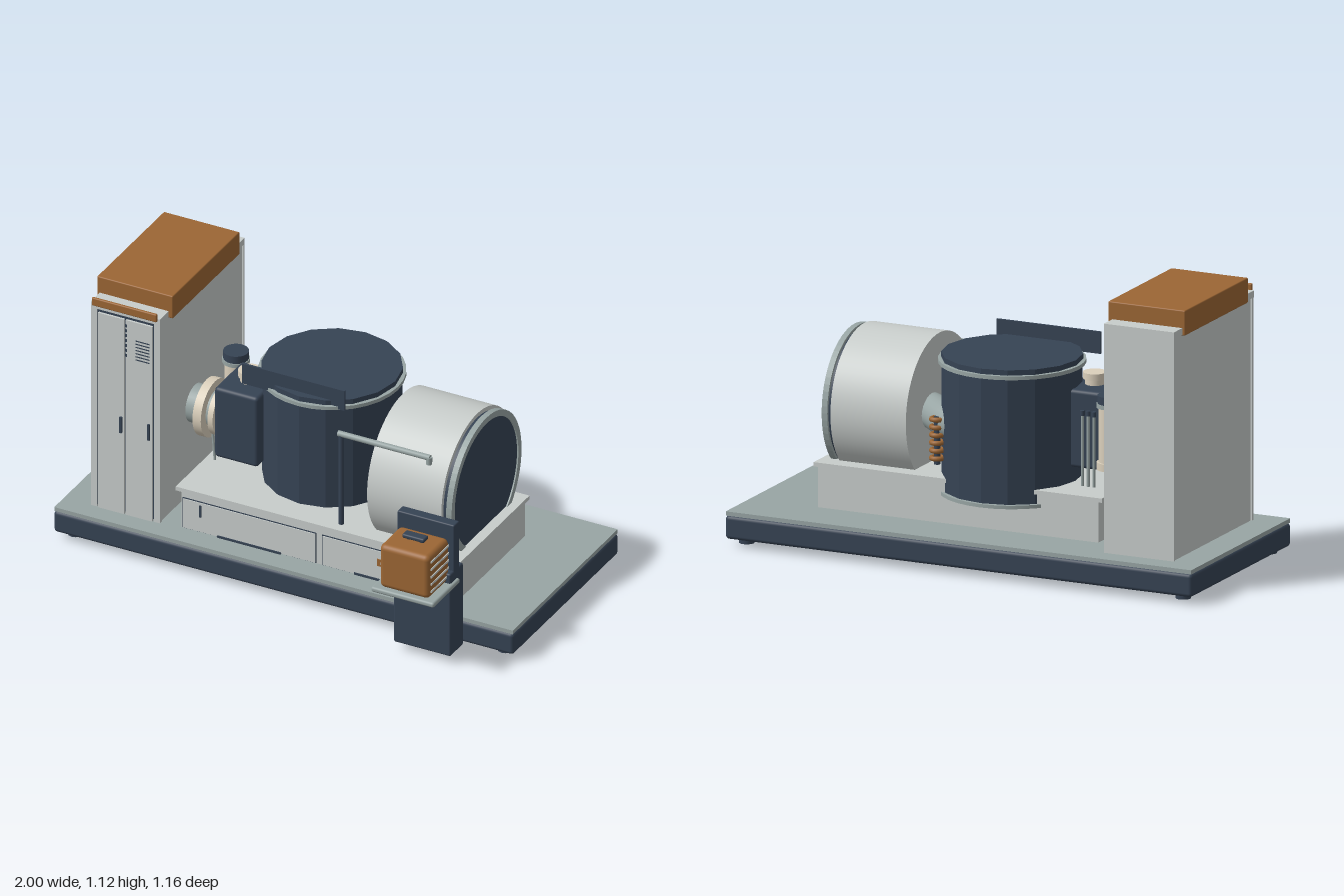
import * as THREE from 'three';
import { RoundedBoxGeometry } from 'three/addons/geometries/RoundedBoxGeometry.js';

const mat = (name, color) => {
  const m = new THREE.MeshStandardMaterial({ color });
  m.name = name;
  return m;
};

export function createModel() {
  const light = mat('light grey', 0xc8cdcb);
  const steel = mat('steel grey', 0x98a5a4);
  const navy = mat('navy', 0x364354);
  const orange = mat('ochre', 0x9c6634);
  const cream = mat('cream', 0xdbd0bc);
  [light, steel, navy, cream].forEach((m) => (m.flatShading = false));

  const model = new THREE.Group();
  const part = (name, parent = model) => {
    const g = new THREE.Group();
    g.name = name;
    parent.add(g);
    return g;
  };
  const add = (parent, name, geo, material) => {
    const m = new THREE.Mesh(geo, material);
    m.name = name;
    parent.add(m);
    return m;
  };
  // Box given by its limits; r rounds the edges
  const box = (parent, name, material, [x0, x1], [y0, y1], [z0, z1], r = 0) => {
    const w = x1 - x0, h = y1 - y0, d = z1 - z0;
    const geo = r ? new RoundedBoxGeometry(w, h, d, 3, r) : new THREE.BoxGeometry(w, h, d);
    geo.translate((x0 + x1) / 2, (y0 + y1) / 2, (z0 + z1) / 2);
    return add(parent, name, geo, material);
  };
  // Upright cylinder from y0 to y1
  const post = (parent, name, material, x, z, y0, y1, r, n = 24) => {
    let geo = new THREE.CylinderGeometry(r, r, y1 - y0, n);
    if (n <= 16) geo = facet(geo);
    geo.translate(x, (y0 + y1) / 2, z);
    return add(parent, name, geo, material);
  };
  // Cylinder lying along x from x0 to x1
  const drumX = (parent, name, material, y, z, x0, x1, r, n = 32) => {
    const geo = new THREE.CylinderGeometry(r, r, x1 - x0, n).rotateZ(Math.PI / 2);
    geo.translate((x0 + x1) / 2, y, z);
    return add(parent, name, geo, material);
  };
  const facet = (geo) => {
    const g = geo.toNonIndexed();
    g.computeVertexNormals();
    return g;
  };

  // Skid base with deck, feet and underside covers
  const base = part('base');
  box(base, 'baseBody', navy, [-1, 1], [0.03, 0.123], [-0.58, 0.29], 0.015);
  box(base, 'deck', steel, [-0.997, 0.997], [0.123, 0.14], [-0.577, 0.287]);
  for (const x of [-0.935, 0.935]) for (const z of [-0.52, 0.23]) post(base, 'foot', navy, x, z, 0.01, 0.04, 0.03);
  box(base, 'undersidePanel', light, [-0.505, 0.715], [0.012, 0.035], [-0.365, 0.2]);
  box(base, 'cabinetUndersidePanel', navy, [-0.88, -0.58], [0.018, 0.035], [-0.48, 0.2]);
  for (const x of [-0.39, 0.6]) for (const z of [-0.3, 0.13]) post(base, 'panelBolt', navy, x, z, 0, 0.02, 0.02);
  for (const x of [-0.83, -0.63]) for (const z of [-0.4, 0.13]) post(base, 'cabinetBolt', navy, x, z, 0.008, 0.02, 0.018);

  // Tall control cabinet
  const cab = part('cabinet');
  box(cab, 'cabinetBody', light, [-0.875, -0.585], [0.14, 1.04], [-0.482, 0.198]);
  box(cab, 'cabinetTopLip', light, [-0.88, -0.58], [1.025, 1.052], [-0.49, 0.208]);
  box(cab, 'backFrame', light, [-0.88, -0.58], [0.14, 1.04], [-0.49, -0.48]);
  for (const x of [-0.88, -0.606]) box(cab, 'frontFrame', light, [x, x + 0.026], [0.14, 1.03], [0.19, 0.206]);
  box(cab, 'doorGap', navy, [-0.853, -0.607], [0.15, 1.03], [0.195, 0.203]);
  for (const [x0, x1] of [[-0.847, -0.733], [-0.727, -0.612]]) {
    box(cab, 'door', light, [x0, x1], [0.142, 1.012], [0.195, 0.212]);
    box(cab, 'doorHandle', navy, [x1 - 0.018, x1 - 0.008], [0.505, 0.575], [0.21, 0.22]);
  }
  for (let i = 0; i < 7; i++) {
    box(cab, 'doorVent', navy, [-0.682, -0.622], [0.845 + i * 0.014, 0.849 + i * 0.014], [0.211, 0.214]);
    box(cab, 'doorPerforation', navy, [-0.728, -0.72], [0.85 + i * 0.022, 0.862 + i * 0.022], [0.211, 0.214]);
  }
  box(cab, 'cabinetHood', orange, [-0.892, -0.562], [1.022, 1.122], [-0.417, 0.135], 0.005);
  box(cab, 'frontHoodStrip', orange, [-0.87, -0.588], [1.042, 1.077], [0.208, 0.221], 0.005);

  // Plinth carrying the vessels
  const plinth = part('plinth');
  box(plinth, 'plinthBody', light, [-0.495, 0.705], [0.14, 0.305], [-0.365, 0.19]);
  box(plinth, 'plinthTop', light, [-0.515, 0.72], [0.303, 0.32], [-0.375, 0.2]);
  for (const [x0, x1] of [[-0.485, 0.088], [0.122, 0.69]]) {
    box(plinth, 'panelShadowGap', navy, [x0 - 0.004, x1 + 0.004], [0.141, 0.276], [0.187, 0.192]);
    box(plinth, 'accessPanel', light, [x0, x1], [0.144, 0.272], [0.188, 0.196]);
  }
  for (const [x0, x1] of [[-0.335, -0.06], [0.26, 0.47]]) box(plinth, 'panelPull', navy, [x0, x1], [0.141, 0.15], [0.194, 0.2]);
  box(plinth, 'panelLatch', navy, [-0.413, -0.405], [0.21, 0.262], [0.194, 0.2]);
  box(plinth, 'ratingPlate', orange, [0.36, 0.452], [0.208, 0.238], [0.194, 0.2]);

  // Faceted upright vessel
  const vessel = part('vessel');
  const vx = -0.035, vz = -0.18;
  post(vessel, 'vesselBody', navy, vx, vz, 0.255, 0.785, 0.272, 16);
  post(vessel, 'bottomFlange', steel, vx, vz, 0.25, 0.264, 0.284, 32);
  post(vessel, 'topFlange', steel, vx, vz, 0.764, 0.779, 0.286, 32);
  post(vessel, 'vesselLid', navy, vx, vz, 0.779, 0.8, 0.274, 16);
  box(vessel, 'frontShield', navy, [-0.3, 0.145], [0.768, 0.856], [0.052, 0.061]);

  // Horizontal drum with ringed end cover
  const drum = part('horizontalDrum');
  const dy = 0.52, dz = -0.09;
  drumX(drum, 'drumShell', light, dy, dz, 0.32, 0.643, 0.295, 64);
  drumX(drum, 'drumSeam', navy, dy, dz, 0.64, 0.665, 0.277, 64);
  drumX(drum, 'endCover', navy, dy, dz, 0.66, 0.678, 0.27, 64);
  const ring = new THREE.LatheGeometry(
    [[0.262, 0], [0.288, 0], [0.288, 0.024], [0.262, 0.024], [0.262, 0]].map(([r, y]) => new THREE.Vector2(r, y)), 64);
  const ringMesh = add(drum, 'endRing', facet(ring.rotateZ(-Math.PI / 2)), steel.clone());
  ringMesh.material = steel;
  steel.side = THREE.DoubleSide;
  ringMesh.position.set(0.66, dy, dz);

  // Slanted duct between vessel and drum, with a coil beside it
  const duct = part('connectingDuct');
  const path = new THREE.CatmullRomCurve3([[0.08, -0.31], [0.2, -0.26], [0.3, -0.17], [0.4, -0.1]]
    .map(([x, z]) => new THREE.Vector3(x, 0.52, z)));
  add(duct, 'duct', new THREE.TubeGeometry(path, 20, 0.07, 24), steel);
  post(duct, 'coilCore', navy, 0.215, -0.325, 0.36, 0.55, 0.012, 18);
  for (let i = 0; i < 6; i++) {
    const coil = add(duct, 'coilRing', new THREE.TorusGeometry(0.022, 0.01, 8, 20).rotateX(Math.PI / 2), orange);
    coil.position.set(0.215, 0.385 + i * 0.031, -0.325);
  }

  // Pipe from cabinet to vessel with flanges
  const pipe = part('cabinetPipe');
  drumX(pipe, 'pipe', steel, 0.525, -0.09, -0.59, -0.28, 0.078);
  drumX(pipe, 'largeFlange', cream, 0.525, -0.09, -0.533, -0.497, 0.118);
  drumX(pipe, 'smallFlange', cream, 0.525, -0.09, -0.478, -0.455, 0.1);
  const strut = post(pipe, 'flangeStrut', steel, 0, 0, -0.065, 0.065, 0.005, 18);
  strut.position.set(-0.482, 0.385, -0.05);
  strut.rotation.z = 0.08;

  // Upright filter canister
  const filter = part('filter');
  post(filter, 'filterBody', cream, -0.49, -0.25, 0.43, 0.67, 0.045);
  post(filter, 'filterCollar', steel, -0.49, -0.25, 0.652, 0.668, 0.054);
  post(filter, 'filterCap', navy, -0.49, -0.25, 0.668, 0.7, 0.05);
  post(filter, 'filterFoot', cream, -0.49, -0.25, 0.405, 0.435, 0.053);

  // Junction box with capped neck and conduits
  const junction = part('junctionBox');
  box(junction, 'junctionBody', navy, [-0.443, -0.253], [0.38, 0.69], [-0.21, 0.022], 0.015);
  post(junction, 'neck', cream, -0.345, -0.09, 0.68, 0.73, 0.038);
  post(junction, 'neckCap', cream, -0.345, -0.09, 0.712, 0.738, 0.046);
  for (const x of [-0.412, -0.388, -0.363]) {
    post(junction, 'conduit', steel, x, -0.235, 0.32, 0.6, 0.006, 18);
    post(junction, 'conduitTip', navy, x, -0.235, 0.6, 0.62, 0.009, 18);
  }

  // Swing arm on a post
  const arm = part('swingArm');
  post(arm, 'armPost', navy, 0.178, 0.148, 0.32, 0.72, 0.011);
  drumX(arm, 'armBar', steel, 0.72, 0.148, 0.165, 0.565, 0.012, 16);
  post(arm, 'armHook', steel, 0.56, 0.148, 0.692, 0.722, 0.012);

  // Front pedestal with shelf and portable unit
  const stand = part('frontPedestal');
  box(stand, 'pedestalBox', navy, [0.547, 0.795], [0.035, 0.402], [0.31, 0.418], 0.008);
  box(stand, 'backPanel', navy, [0.547, 0.795], [0.32, 0.605], [0.342, 0.387], 0.006);
  box(stand, 'shelf', steel, [0.533, 0.807], [0.339, 0.361], [0.358, 0.58], 0.009);
  const unit = part('portableUnit', stand);
  box(unit, 'unitBody', orange, [0.56, 0.777], [0.358, 0.548], [0.388, 0.563], 0.022);
  for (let i = 0; i < 5; i++) {
    const y = 0.383 + i * 0.033;
    for (const x of [0.558, 0.775]) box(unit, 'unitSlat', light, [x, x + 0.005], [y, y + 0.009], [0.4, 0.545]);
  }
  box(unit, 'unitHandle', navy, [0.62, 0.717], [0.556, 0.574], [0.448, 0.488], 0.007);
  for (const x of [0.635, 0.69]) box(unit, 'handleStud', navy, [x, x + 0.012], [0.54, 0.56], [0.462, 0.474]);

  return model;
}
